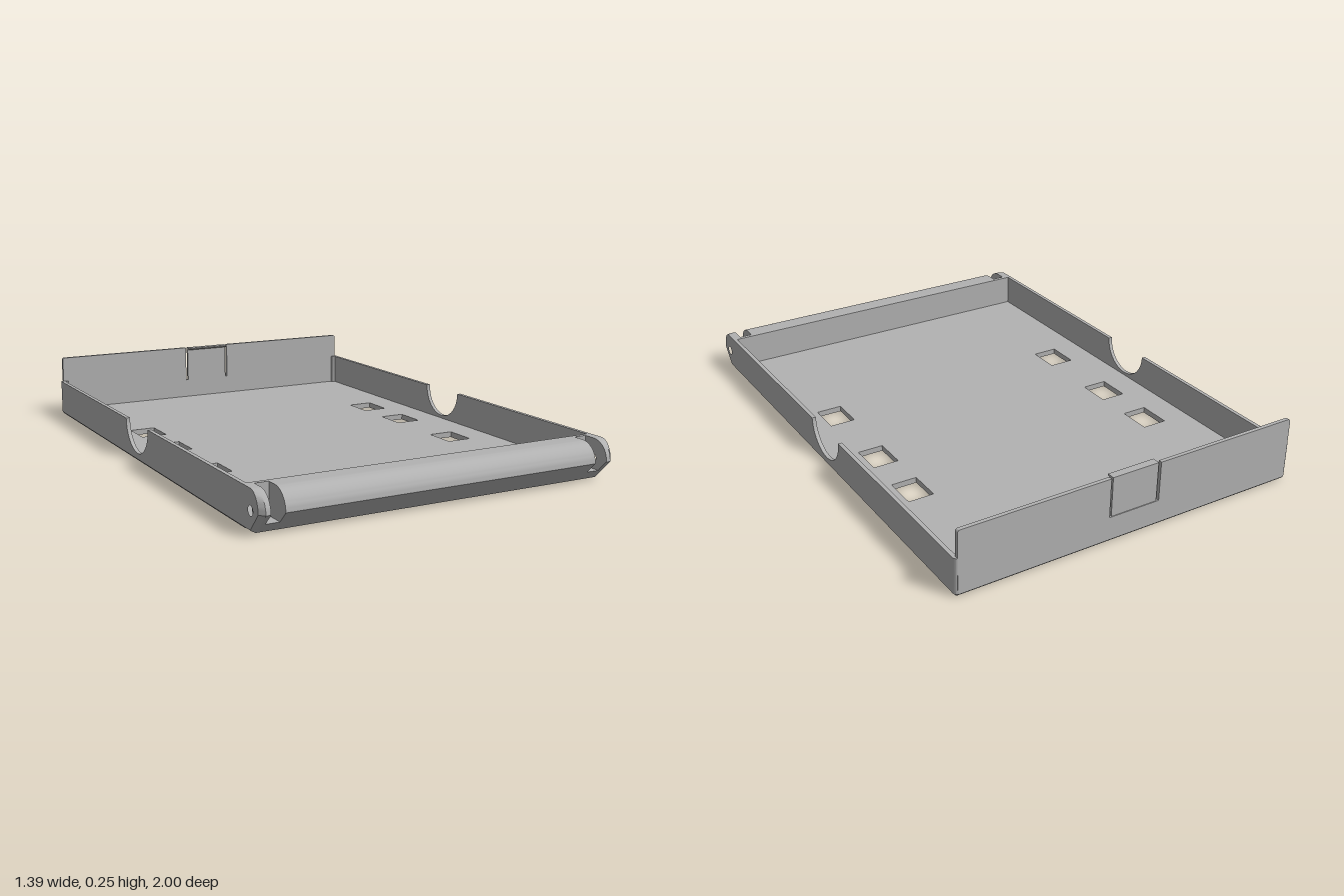
import * as THREE from 'three';
import { toCreasedNormals } from 'three/addons/utils/BufferGeometryUtils.js';

const W = 0.695, T = 0.015, FLOOR = 0.022, TOP = 0.147, BACK = -1;
const INNER = 0.868;             // where the floor meets the front bar
const HZ = 0.928, HY = 0.075;    // hinge axis

// Extrude a (z, y) profile along x from x0 to x1
function profileX(points, x0, x1, { hole, steps = 1 } = {}) {
  const shape = new THREE.Shape(points.map(([z, y]) => new THREE.Vector2(-z, y)));
  if (hole) shape.holes.push(new THREE.Path().absarc(-hole[0], hole[1], hole[2], 0, Math.PI * 2, true));
  const g = new THREE.ExtrudeGeometry(shape, { depth: x1 - x0, steps, bevelEnabled: false, curveSegments: 24 });
  return g.rotateY(Math.PI / 2).translate(x0, 0, 0);
}

// Move vertices by a rule
function reshape(g, rule) {
  const p = g.attributes.position, v = new THREE.Vector3();
  for (let i = 0; i < p.count; i++) {
    v.fromBufferAttribute(p, i);
    rule(v);
    p.setXYZ(i, v.x, v.y, v.z);
  }
  return g;
}

// Mirrored copy across x, with the corner order turned back
function mirrorX(source) {
  const g = (source.index ? source.toNonIndexed() : source.clone()).scale(-1, 1, 1);
  const p = g.attributes.position, a = new THREE.Vector3(), b = new THREE.Vector3();
  for (let i = 0; i < p.count; i += 3) {
    a.fromBufferAttribute(p, i + 1);
    b.fromBufferAttribute(p, i + 2);
    p.setXYZ(i + 1, b.x, b.y, b.z);
    p.setXYZ(i + 2, a.x, a.y, a.z);
  }
  return g;
}

// Arc points from angle a0 to a1
function arc(cz, cy, r, a0, a1, n = 16) {
  return Array.from({ length: n + 1 }, (_, i) => {
    const a = a0 + (a1 - a0) * i / n;
    return [cz + r * Math.cos(a), cy + r * Math.sin(a)];
  });
}

export function createModel() {
  const model = new THREE.Group();
  model.name = 'tray';
  const grey = new THREE.MeshStandardMaterial({ color: 0xb2b2b2 });
  grey.name = 'grey plastic';

  const add = (name, g) => {
    g.computeVertexNormals();
    const mesh = new THREE.Mesh(toCreasedNormals(g, 0.5), grey);
    mesh.name = name;
    model.add(mesh);
  };
  const addPair = (name, g) => {
    const m = mirrorX(g);
    add('left' + name, g);
    add('right' + name, m);
  };

  // Floor with six windows and a chamfered lower rim
  const floor = new THREE.Shape();
  floor.moveTo(-W, -INNER);
  floor.lineTo(W, -INNER);
  floor.lineTo(W, -BACK - T);
  floor.absarc(W - T, -BACK - T, T, 0, Math.PI / 2, false);
  floor.lineTo(-W + T, -BACK);
  floor.absarc(-W + T, -BACK - T, T, Math.PI / 2, Math.PI, false);
  floor.closePath();
  for (const x of [-0.52, 0.52]) for (const z of [-0.395, -0.125, 0.245]) {
    const hole = new THREE.Path();
    hole.moveTo(x - 0.05, -z - 0.065);
    hole.lineTo(x - 0.05, -z + 0.065);
    hole.lineTo(x + 0.05, -z + 0.065);
    hole.lineTo(x + 0.05, -z - 0.065);
    hole.closePath();
    floor.holes.push(hole);
  }
  const floorGeo = new THREE.ExtrudeGeometry(floor, { depth: FLOOR, steps: 2, bevelEnabled: false, curveSegments: 6 });
  floorGeo.rotateX(-Math.PI / 2);
  add('floor', reshape(floorGeo, v => {
    if (v.y > 0.001) return;
    v.x = THREE.MathUtils.clamp(v.x, -W + 0.011, W - 0.011);
    v.z = Math.max(v.z, BACK + 0.011);
  }));

  // Side walls with a half-round finger notch
  addPair('SideWall', profileX([
    [BACK + T, FLOOR], [INNER, FLOOR], [INNER, TOP],
    ...arc(-0.05, TOP, 0.113, 0, -Math.PI, 32), [BACK + T, TOP],
  ], W - T, W));

  // Rounded rear corners
  const corner = new THREE.CylinderGeometry(T, T, TOP - FLOOR, 24);
  addPair('RearCorner', corner.translate(W - T, (TOP + FLOOR) / 2, BACK + T));

  // Hinge ears, tapered at the outer front edge
  const nose = [[INNER, 0], [0.925, 0], ...arc(HZ, HY, 0.072, 0, Math.PI / 2), [INNER, TOP]];
  const ear = profileX(nose, 0.66, W, { hole: [HZ, HY, 0.017], steps: 2 });
  addPair('HingeEar', reshape(ear, v => {
    if (v.x < W - 0.001 || Math.hypot(v.z - HZ, v.y - HY) < 0.02) return;
    if (v.z > HZ) v.z = HZ + (v.z - HZ) * 0.75;
    v.y = Math.max(v.y, 0.011);
  }));

  // Open slots between the ears and the front bar
  addPair('HingeSlot', profileX([
    [INNER, 0], [0.925, 0], [0.96, 0.035], [0.9, 0.035], [0.885, 0.05], [0.885, TOP], [INNER, TOP],
  ], 0.61, 0.66));

  // Front bar
  add('frontBar', profileX(nose, -0.61, 0.61));

  // Tall back wall, cut out around the latch
  const X = 0.685, H = 0.25, R = 0.01;
  const back = new THREE.Shape();
  back.moveTo(-X, FLOOR);
  back.lineTo(X, FLOOR);
  back.lineTo(X, H - R);
  back.absarc(X - R, H - R, R, 0, Math.PI / 2, false);
  back.lineTo(0.103, H);
  back.lineTo(0.103, 0.1);
  back.lineTo(-0.103, 0.1);
  back.lineTo(-0.103, H);
  back.lineTo(-X + R, H);
  back.absarc(-X + R, H - R, R, Math.PI / 2, Math.PI, false);
  back.closePath();
  const backGeo = new THREE.ExtrudeGeometry(back, { depth: T, bevelEnabled: false, curveSegments: 6 });
  add('backWall', backGeo.translate(0, 0, BACK));

  // Flexible latch with a small inward lip
  add('latch', profileX([
    [-0.997, 0.1], [-0.985, 0.1], [-0.985, 0.238], [-0.967, 0.245], [-0.967, H], [-0.997, H],
  ], -0.094, 0.094));

  return model;
}
